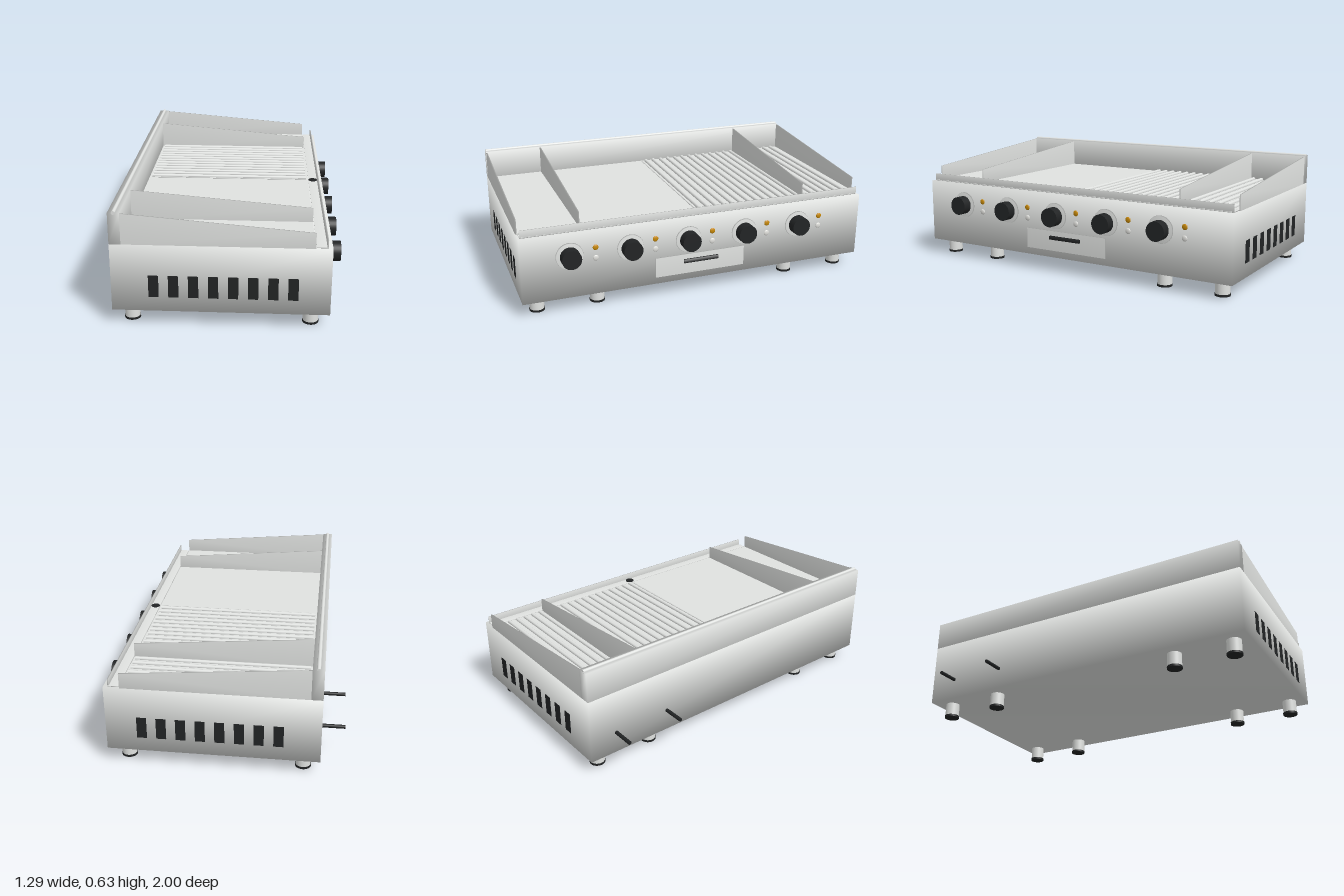
import * as THREE from 'three';
import { mergeVertices } from 'three/addons/utils/BufferGeometryUtils.js';

const mat = (name, color) => Object.assign(new THREE.MeshStandardMaterial({ color }), { name });

// Shares corner vertices so that the shading runs softly round the edges
function soften(geometry) {
  geometry.deleteAttribute('uv');
  geometry.deleteAttribute('normal');
  const merged = mergeVertices(geometry);
  merged.computeVertexNormals();
  return merged;
}

export function createModel() {
  const steel = mat('steel', 0xe0e2e0);
  const black = mat('black plastic', 0x222425);
  const amber = mat('amber lamp', 0xc88a08);
  const white = mat('white lamp', 0xe0e0dc);
  const model = new THREE.Group();
  model.name = 'countertopGriddle';

  const add = (name, geometry, material, x = 0, y = 0, z = 0) => {
    const mesh = new THREE.Mesh(geometry, material);
    mesh.name = name;
    mesh.position.set(x, y, z);
    model.add(mesh);
    return mesh;
  };
  // Soft-shaded box given by its min and max on each axis
  const box = (name, material, x0, x1, y0, y1, z0, z1) =>
    add(name, soften(new THREE.BoxGeometry(x1 - x0, y1 - y0, z1 - z0)), material,
      (x0 + x1) / 2, (y0 + y1) / 2, (z0 + z1) / 2);
  // Cylinder lying along x from x0 to x1
  const rodX = (name, material, r0, r1, x0, x1, y, z) =>
    add(name, new THREE.CylinderGeometry(r1, r0, x1 - x0, 32).rotateZ(-Math.PI / 2),
      material, (x0 + x1) / 2, y, z);

  // Housing and cooking plate
  box('housing', steel, -0.525, 0.585, 0.085, 0.45, -1, 1);
  box('cookingPlate', steel, -0.465, 0.5, 0.45, 0.455, -0.995, 0.995);

  // Ribbed half of the plate
  for (let i = 0; i < 19; i++) {
    const rib = new THREE.CylinderGeometry(0.011, 0.011, 0.94, 12).rotateZ(Math.PI / 2);
    add('rib', rib, steel, 0.02, 0.458, -0.944 + i * 0.0508);
  }
  box('ribbedPlateEdge', steel, -0.45, 0.49, 0.455, 0.459, -0.006, 0);

  // Back splash with rolled rim
  box('backSplash', steel, -0.525, -0.465, 0.45, 0.617, -1, 1);
  add('splashRim', new THREE.CylinderGeometry(0.01, 0.01, 2, 16).rotateX(Math.PI / 2),
    steel, -0.495, 0.617, 0);

  // Sloping side guards and dividers
  const profile = new THREE.Shape([[-0.465, 0.45], [0.5, 0.45], [0.5, 0.532], [-0.465, 0.613]]
    .map(([x, y]) => new THREE.Vector2(x, y)));
  const guard = soften(new THREE.ExtrudeGeometry(profile, { depth: 0.008, bevelEnabled: false }));
  for (const z of [-1, -0.668, 0.66, 0.992]) add('sideGuard', guard, steel, 0, 0, z);

  // Grease channel with front lip and drain
  box('greaseChannel', steel, 0.505, 0.562, 0.45, 0.455, -0.99, 0.99);
  box('frontLip', steel, 0.556, 0.562, 0.455, 0.492, -0.99, 0.99);
  add('drain', new THREE.CylinderGeometry(0.025, 0.025, 0.004, 24), black, 0.531, 0.457, 0);

  // Knobs with bezels and lamps
  const bezel = soften(new THREE.CylinderGeometry(0.072, 0.075, 0.007, 32).rotateZ(-Math.PI / 2));
  const lamp = new THREE.SphereGeometry(0.016, 16, 12);
  for (let i = 0; i < 5; i++) {
    const z = 0.74 - i * 0.3335;
    add('knobBezel', bezel, steel, 0.5885, 0.325, z);
    rodX('knob', black, 0.053, 0.053, 0.592, 0.645, 0.325, z);
    add('amberLamp', lamp, amber, 0.586, 0.355, z - 0.141).scale.x = 0.35;
    add('whiteLamp', lamp, white, 0.586, 0.295, z - 0.141).scale.x = 0.35;
  }

  // Grease drawer
  box('drawerFront', steel, 0.585, 0.592, 0.125, 0.238, -0.26, 0.265);
  box('drawerHandle', black, 0.592, 0.606, 0.192, 0.211, -0.1, 0.103);

  // Side vents
  for (const side of [-1, 1])
    for (let i = 0; i < 8; i++)
      add('vent', new THREE.BoxGeometry(0.052, 0.12, 0.006), black,
        -0.309 + i * 0.1008, 0.223, side * 0.9985);

  // Rear cable stubs
  for (const z of [-0.84, -0.51]) rodX('cableStub', black, 0.01, 0.01, -0.645, -0.525, 0.205, z);

  // Feet with black pads
  for (const x of [-0.435, 0.492])
    for (const z of [-0.91, -0.575, 0.575, 0.91]) {
      add('foot', new THREE.CylinderGeometry(0.04, 0.04, 0.075, 32), steel, x, 0.0495, z);
      add('footPad', new THREE.CylinderGeometry(0.042, 0.042, 0.012, 32), black, x, 0.006, z);
    }
  return model;
}
